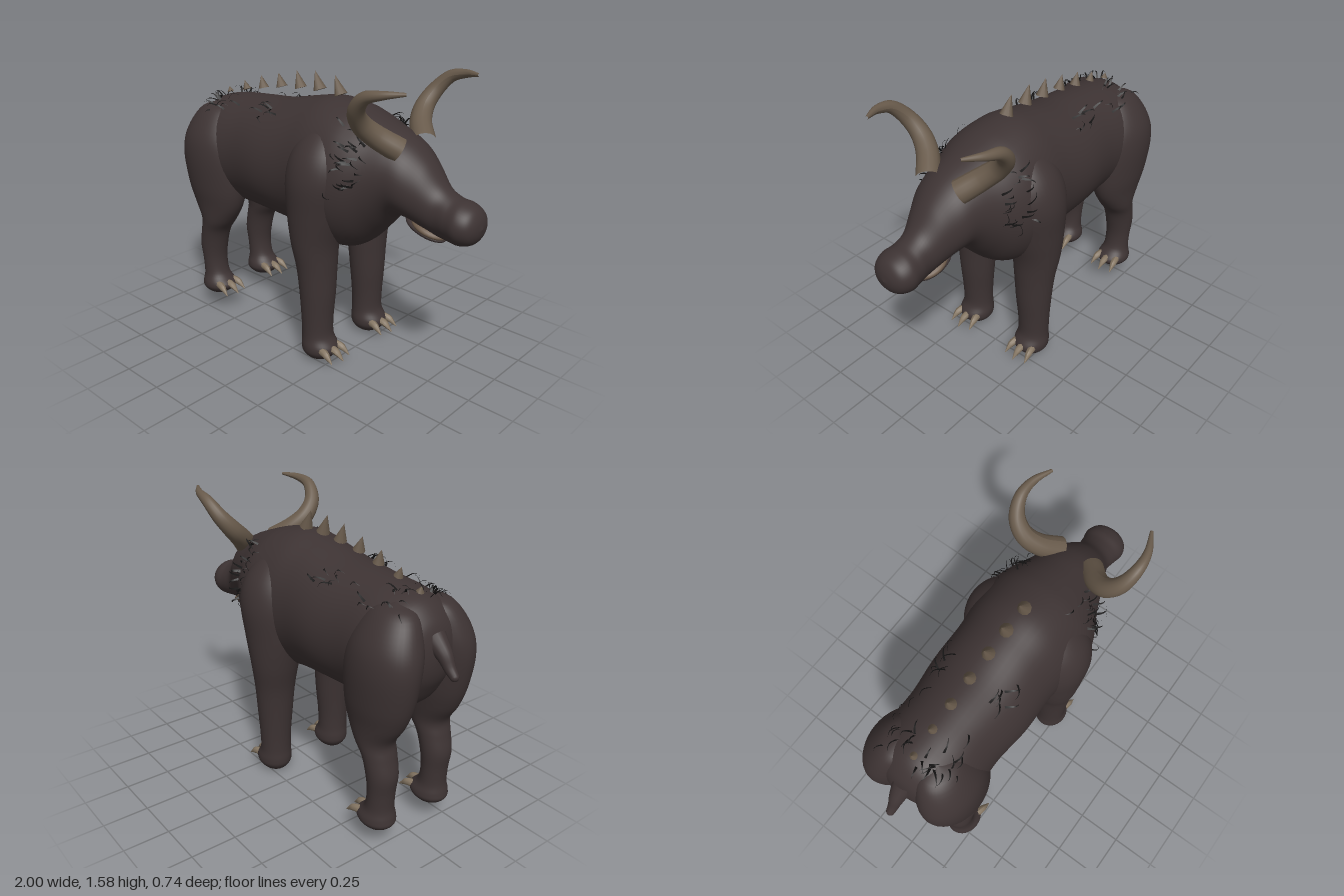
import * as THREE from 'three';
import { mergeGeometries } from 'three/addons/utils/BufferGeometryUtils.js';

const material = (name, color, side = THREE.FrontSide) => {
  const m = new THREE.MeshStandardMaterial({ color, side });
  m.name = name;
  return m;
};

// Smooth skin over elliptical rings. Row: [position on axis, centre 1, centre 2, radius 1, radius 2]
// Axis x uses centres/radii (y, z); axis y uses (x, z).
function loft(rows, axis, steps = 72, sides = 40) {
  const curve = (f) => new THREE.CatmullRomCurve3(rows.map(f), false, 'catmullrom', 0.5);
  const centre = curve((r) => new THREE.Vector3(r[0], r[1], r[2]));
  const radius = curve((r) => new THREE.Vector3(r[3], r[4], 0));
  const pos = [], index = [];
  for (let i = 0; i <= steps; i++) {
    const c = centre.getPoint(i / steps), r = radius.getPoint(i / steps);
    const r1 = Math.max(r.x, 0.0005), r2 = Math.max(r.y, 0.0005);
    for (let j = 0; j < sides; j++) {
      const a = (j / sides) * Math.PI * 2;
      if (axis === 'x') pos.push(c.x, c.y + r1 * Math.cos(a), c.z + r2 * Math.sin(a));
      else pos.push(c.y + r1 * Math.sin(a), c.x, c.z + r2 * Math.cos(a));
      if (i === steps) continue;
      const p = i * sides + j, q = i * sides + (j + 1) % sides;
      index.push(p, q, p + sides, q, q + sides, p + sides);
    }
  }
  const g = new THREE.BufferGeometry();
  g.setAttribute('position', new THREE.Float32BufferAttribute(pos, 3));
  g.setIndex(index);
  g.computeVertexNormals();
  return g;
}

// Round tube along a path whose radius follows a list
function taperedTube(points, radii, steps = 40, sides = 16) {
  const path = new THREE.CatmullRomCurve3(points.map((p) => new THREE.Vector3(...p)));
  const g = new THREE.TubeGeometry(path, steps, 1, sides, false);
  const p = g.attributes.position, v = new THREE.Vector3();
  for (let i = 0; i <= steps; i++) {
    const u = i / steps, f = u * (radii.length - 1), k = Math.min(Math.floor(f), radii.length - 2);
    const r = THREE.MathUtils.lerp(radii[k], radii[k + 1], f - k);
    const c = path.getPointAt(u);
    for (let j = 0; j <= sides; j++) {
      const n = i * (sides + 1) + j;
      v.fromBufferAttribute(p, n).sub(c).multiplyScalar(r).add(c);
      p.setXYZ(n, v.x, v.y, v.z);
    }
  }
  g.computeVertexNormals();
  return g;
}

// Cone from a base point to a tip
function spike(base, tip, r, sides) {
  const a = new THREE.Vector3(...base), b = new THREE.Vector3(...tip);
  const d = b.clone().sub(a), len = d.length();
  const g = new THREE.ConeGeometry(r, len, sides);
  g.translate(0, len / 2, 0);
  g.applyQuaternion(new THREE.Quaternion().setFromUnitVectors(new THREE.Vector3(0, 1, 0), d.normalize()));
  return g.translate(a.x, a.y, a.z);
}

const BODY = [
  [-0.89, 1.05, 0, 0, 0], [-0.875, 1.05, 0, 0.1, 0.09], [-0.84, 1.05, 0, 0.18, 0.17],
  [-0.76, 1.03, 0, 0.27, 0.25], [-0.62, 1.02, 0, 0.31, 0.275], [-0.45, 1.025, 0, 0.32, 0.275],
  [-0.25, 1.03, 0, 0.33, 0.297], [-0.05, 1.04, 0, 0.36, 0.295], [0.1, 1.04, 0, 0.385, 0.31],
  [0.25, 1.025, 0, 0.383, 0.32], [0.35, 1.035, 0, 0.345, 0.295], [0.45, 1.07, 0, 0.275, 0.24],
  [0.54, 1.1, 0, 0.21, 0.2], [0.62, 1.08, 0, 0.185, 0.175], [0.7, 1.03, 0, 0.165, 0.135],
  [0.78, 0.97, 0, 0.13, 0.105], [0.85, 0.945, 0, 0.112, 0.11], [0.91, 0.938, 0, 0.108, 0.12],
  [0.96, 0.935, 0, 0.088, 0.1], [0.988, 0.933, 0, 0.05, 0.06], [1, 0.932, 0, 0, 0],
];
const FRONT_LEG = [
  [0, 0.165, 0.21, 0, 0], [0.012, 0.165, 0.21, 0.055, 0.05], [0.05, 0.17, 0.21, 0.095, 0.088],
  [0.09, 0.172, 0.21, 0.104, 0.096], [0.15, 0.157, 0.21, 0.085, 0.088], [0.25, 0.155, 0.21, 0.085, 0.09],
  [0.4, 0.155, 0.208, 0.095, 0.102], [0.55, 0.15, 0.208, 0.105, 0.115], [0.7, 0.14, 0.21, 0.127, 0.135],
  [0.87, 0.15, 0.2, 0.165, 0.16], [1.05, 0.165, 0.19, 0.19, 0.178], [1.19, 0.17, 0.16, 0.17, 0.165],
  [1.3, 0.17, 0.12, 0.1, 0.1], [1.35, 0.17, 0.1, 0, 0],
];
const HIND_LEG = [
  [0.093, -0.71, 0.185, 0, 0], [0.105, -0.71, 0.185, 0.055, 0.05], [0.14, -0.705, 0.185, 0.1, 0.088],
  [0.175, -0.7, 0.185, 0.105, 0.093], [0.23, -0.72, 0.185, 0.074, 0.076], [0.32, -0.73, 0.185, 0.068, 0.075],
  [0.42, -0.73, 0.185, 0.08, 0.083], [0.52, -0.705, 0.185, 0.085, 0.09], [0.6, -0.67, 0.185, 0.11, 0.1],
  [0.7, -0.67, 0.18, 0.17, 0.115], [0.82, -0.68, 0.178, 0.205, 0.135], [1, -0.695, 0.175, 0.218, 0.147],
  [1.13, -0.7, 0.155, 0.19, 0.14], [1.25, -0.7, 0.12, 0.12, 0.09], [1.29, -0.7, 0.11, 0, 0],
];

// Point and outward normal on the body at x and angle from the top
function onBody(x, a) {
  const k = BODY.findIndex((r) => r[0] > x), p = BODY[k - 1], q = BODY[k];
  const f = (x - p[0]) / (q[0] - p[0]);
  const [, cy, , ry, rz] = p.map((v, i) => THREE.MathUtils.lerp(v, q[i], f));
  return {
    point: new THREE.Vector3(x, cy + ry * Math.cos(a), rz * Math.sin(a)),
    normal: new THREE.Vector3(0, Math.cos(a) / ry, Math.sin(a) / rz).normalize(),
  };
}

// Tufts of thin, arched hairs. Patch: [x from, x to, angle from, angle to, count]
function hairGeometry() {
  let seed = 7;
  const rand = () => (seed = (seed * 16807) % 2147483647) / 2147483647;
  const patches = [
    [0.29, 0.44, 0.6, 1.65, 28], [0.29, 0.44, -1.65, -0.6, 28],
    [-0.79, -0.64, 0.1, 0.75, 14], [-0.79, -0.64, -0.75, -0.1, 12],
    [-0.62, -0.15, 0.45, 0.8, 9], [-0.62, -0.2, -0.8, -0.5, 11],
  ];
  const hairs = [];
  for (const [x0, x1, a0, a1, count] of patches) {
    for (let n = 0; n < count; n++) {
      const { point, normal } = onBody(x0 + (x1 - x0) * rand(), a0 + (a1 - a0) * rand());
      const len = 0.05 + 0.035 * rand(), g = new THREE.PlaneGeometry(len, 0.012, 5, 1);
      const p = g.attributes.position;
      for (let i = 0; i < p.count; i++) {
        const u = p.getX(i) / len + 0.5;
        p.setXYZ(i, u * len, 0.035 * Math.sin(u * 2.6), p.getY(i) * (1.1 - u));
      }
      const yaw = (rand() - 0.5) * 1.6;
      const along = new THREE.Vector3(n % 3 ? -1 : 1, 0, 0).applyAxisAngle(normal, yaw);
      g.applyMatrix4(new THREE.Matrix4().makeBasis(along, normal, along.clone().cross(normal)));
      g.translate(point.x, point.y, point.z);
      g.computeVertexNormals();
      hairs.push(g);
    }
  }
  return mergeGeometries(hairs);
}

export function createModel() {
  const model = new THREE.Group();
  const hide = material('dark hide', 0x3d3333);
  const horn = material('horn', 0x685a4b);
  const claw = material('claw', 0x857663);
  const mouth = material('mouth', 0x6a5848);
  const hair = material('black hair', 0x161515, THREE.DoubleSide);
  const add = (name, geometry, mat, parent = model) => {
    const mesh = new THREE.Mesh(geometry, mat);
    mesh.name = name;
    parent.add(mesh);
    return mesh;
  };

  add('bodyAndHead', loft(BODY, 'x', 120, 48), hide);

  // Mouth lining with the lower jaw under it
  const jawShape = (x, y, rx, ry, rz) =>
    new THREE.SphereGeometry(1, 28, 16).scale(rx, ry, rz).rotateZ(-0.33).translate(x, y, 0);
  add('mouthLining', jawShape(0.715, 0.868, 0.105, 0.03, 0.088), mouth);
  add('lowerJaw', jawShape(0.69, 0.855, 0.12, 0.028, 0.078), hide);

  // Short drooping tail
  const tail = taperedTube([[-0.84, 1.13, 0], [-0.91, 1.07, 0], [-0.95, 1.015, 0], [-0.98, 0.985, 0]],
    [0.06, 0.045, 0.032, 0.022]);
  add('tail', tail, hide);
  add('tailTip', new THREE.SphereGeometry(0.022, 16, 12).translate(-0.978, 0.986, 0), hide);

  for (const s of [1, -1]) {
    const side = s > 0 ? 'Right' : 'Left';
    // Legs, each with three claws
    for (const [name, rows, x, y] of [['front', FRONT_LEG, 0.245, 0.085], ['hind', HIND_LEG, -0.63, 0.175]]) {
      const leg = new THREE.Group();
      leg.name = name + 'Leg' + side;
      model.add(leg);
      add('limb', loft(rows.map((r) => [r[0], r[1], r[2] * s, r[3], r[4]]), 'y'), hide, leg);
      const z = rows[3][2] * s;
      for (const k of [-1, 0, 1]) {
        const back = Math.abs(k) * 0.02;
        const path = [[x - back, y, z + k * 0.052], [x + 0.045 - back, y - 0.004, z + k * 0.062],
          [x + 0.1 - back, y - 0.042, z + k * 0.07]];
        add('claw', taperedTube(path, [0.024, 0.019, 0.002], 10, 8), claw, leg);
      }
    }
    // Forward-sweeping horn
    const path = [[0.58, 1.25, 0.1], [0.5, 1.32, 0.18], [0.47, 1.385, 0.25], [0.49, 1.46, 0.31],
      [0.56, 1.535, 0.34], [0.65, 1.56, 0.333], [0.75, 1.572, 0.288]].map(([x, y, z]) => [x, y, z * s]);
    add('horn' + side, taperedTube(path, [0.062, 0.058, 0.052, 0.043, 0.033, 0.021, 0.008], 48), horn);
  }

  // Row of spikes above the spine: [base x, base y, tip x, tip y, radius]
  const spikes = [
    [0.125, 1.43, 0.083, 1.527, 0.036], [-0.02, 1.436, -0.056, 1.532, 0.036], [-0.16, 1.425, -0.19, 1.516, 0.034],
    [-0.305, 1.41, -0.33, 1.484, 0.032], [-0.45, 1.382, -0.47, 1.452, 0.03], [-0.59, 1.355, -0.61, 1.404, 0.024],
    [-0.735, 1.32, -0.745, 1.35, 0.02],
  ];
  for (const [x, y, tx, ty, r] of spikes) add('backSpike', spike([x, y, 0], [tx, ty, 0], r, 10), horn);

  add('hairTufts', hairGeometry(), hair);
  return model;
}
